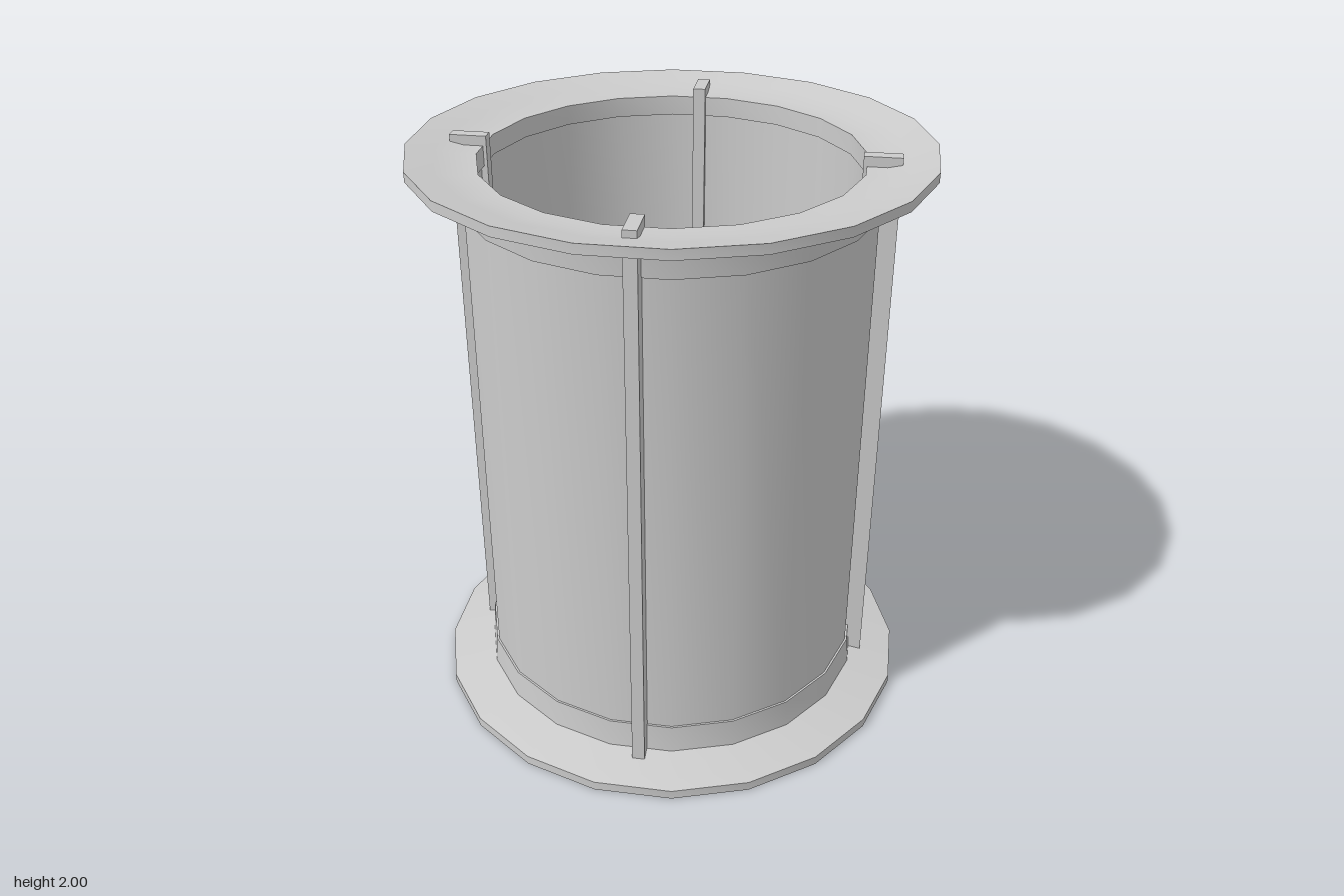
import * as THREE from 'three';
import { toCreasedNormals } from 'three/addons/utils/BufferGeometryUtils.js';

const HEIGHT = 2;
const SIDES = 20;

export function createModel() {
  const model = new THREE.Group();
  model.name = 'spool';
  const material = new THREE.MeshStandardMaterial({ color: 0xcccccc });

  const add = (name, geometry) => {
    const mesh = new THREE.Mesh(geometry, material);
    mesh.name = name;
    model.add(mesh);
    return mesh;
  };

  // Closed ring from a counter-clockwise [radius, y] profile
  const ring = (profile) => {
    const points = [...profile, profile[0]].map(([r, y]) => new THREE.Vector2(r, y));
    return toCreasedNormals(new THREE.LatheGeometry(points, SIDES), 0.5);
  };

  // Barrel wall
  add('barrel', ring([
    [0.635, 0.05], [0.677, 0.05], [0.677, HEIGHT - 0.05], [0.635, HEIGHT - 0.05],
  ]));

  // Dished flange with a collar that grips the barrel end
  const flange = [
    [0.625, 0.033], [0.69, 0.033], [0.76, 0.018], [0.85, 0],
    [0.85, 0.033], [0.8, 0.043], [0.692, 0.063],
    [0.684, 0.163], [0.66, 0.163], [0.635, 0.1], [0.625, 0.1],
  ];
  add('bottomFlange', ring(flange));
  add('topFlange', ring(flange.map(([r, y]) => [r, HEIGHT - y]).reverse()));

  // Four tie bars passing through both flanges
  const inner = 0.606, outer = 0.728;
  const barGeometry = new THREE.BoxGeometry(0.043, HEIGHT, outer - inner);
  barGeometry.translate(0, HEIGHT / 2, (inner + outer) / 2);
  ['frontLeft', 'backLeft', 'backRight', 'frontRight'].forEach((corner, i) => {
    add(`${corner}TieBar`, barGeometry).rotation.y = Math.PI / 4 + (i * Math.PI) / 2;
  });

  return model;
}
